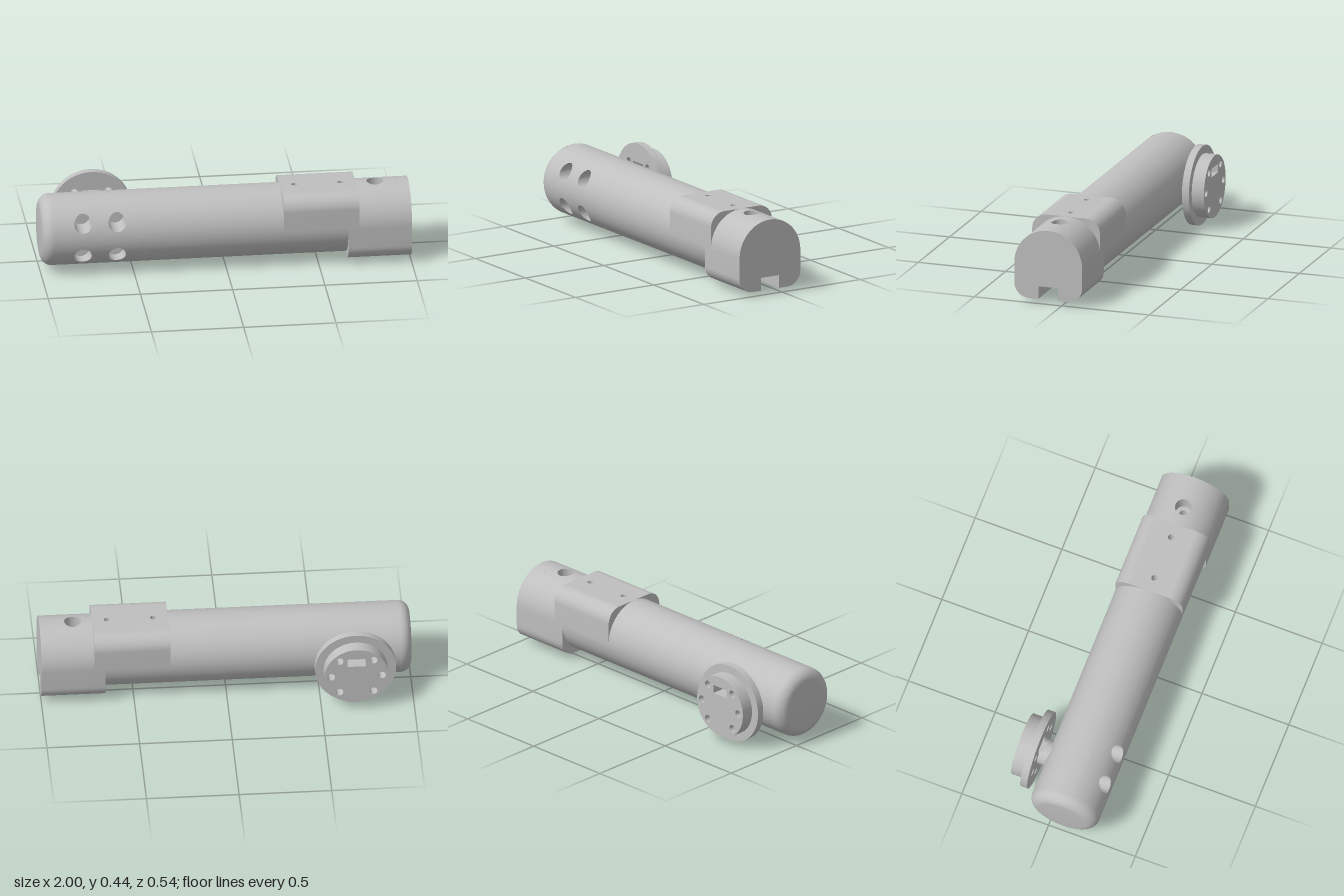
import * as THREE from 'three';
import { mergeGeometries, toCreasedNormals } from 'three/addons/utils/BufferGeometryUtils.js';

const CY = 0.22, CZ = 0.077, R = 0.194;      // tube axis and radius
const C = 0.082, F = R - C;                  // block corner radius, half flat width
const S = 0.057, SLOT_X = 0.78, SLOT_Y = 0.097;
const PI = Math.PI, rad = d => d * PI / 180;

// Skin between rings of points
function loft(rings) {
  const n = rings[0].length, index = [];
  for (let r = 0; r < rings.length - 1; r++) for (let i = 0; i < n - 1; i++) {
    const a = r * n + i, b = a + 1, d = a + n, c = d + 1;
    index.push(a, d, c, a, c, b);
  }
  const g = new THREE.BufferGeometry();
  g.setAttribute('position', new THREE.Float32BufferAttribute(rings.flat(2), 3));
  g.setIndex(index);
  return g;
}

// Point and arc on the tube; angle 0 is front, 90 degrees is top
const at = (x, t, r = R) => [x, CY + r * Math.sin(t), CZ + r * Math.cos(t)];
function arc(x, d0, d1, r = R) {
  const n = Math.max(2, Math.round((d1 - d0) / 3.75));
  return Array.from({ length: n + 1 }, (_, i) => at(x, rad(d0 + (d1 - d0) * i / n), r));
}
const tube = (x0, x1, d0, d1) => loft([arc(x0, d0, d1), arc(x1, d0, d1)]);

// Patch of the tube with a bore; steps are [radius, distance from axis], deepest first
function borePatch(x0, x1, d0, d1, hx, phiDeg, offset, radius, steps) {
  const phi = rad(phiDeg), N = 48, side = N / 4, rings = [];
  const angle = i => -0.75 * PI + i / N * 2 * PI;
  const ring = fn => Array.from({ length: N + 1 }, (_, i) => fn(i));
  for (const [r, d] of steps) rings.push(ring(i => {
    const t = offset + r * Math.sin(angle(i));
    return [hx + r * Math.cos(angle(i)),
      CY + d * Math.sin(phi) + t * Math.cos(phi),
      CZ + d * Math.cos(phi) - t * Math.sin(phi)];
  }));
  const t0 = rad(d0), t1 = rad(d1);
  const corners = [[x0, t0], [x1, t0], [x1, t1], [x0, t1], [x0, t0]];
  for (let k = 0; k <= 6; k++) rings.push(ring(i => {
    const hxp = hx + radius * Math.cos(angle(i));
    const ht = phi + Math.asin((offset + radius * Math.sin(angle(i))) / R);
    const q = Math.min(3, Math.floor(i / side)), f = i / side - q;
    const ex = corners[q][0] + (corners[q + 1][0] - corners[q][0]) * f;
    const et = corners[q][1] + (corners[q + 1][1] - corners[q][1]) * f;
    return at(hxp + (ex - hxp) * k / 6, ht + (et - ht) * k / 6);
  }));
  return loft(rings);
}

// Half of a rounded square as [z, y] about the axis; s = 1 top, -1 bottom
function corner(s, mirror) {
  const p = [[R, 0]];
  for (let i = 0; i <= 12; i++) {
    const a = i / 12 * PI / 2;
    p.push([F + C * Math.cos(a), F + C * Math.sin(a)]);
  }
  const q = mirror ? p.map(([z, y]) => [-z, y]).reverse() : p;
  return q.map(([z, y]) => [s * z, s * y]);
}
const blockSides = (s, x0, x1) => [false, true].map(m =>
  loft([x0, x1].map(x => corner(s, m).map(([z, y]) => [x, CY + y, CZ + z]))));

// Flat faces across y or x
const flatY = (shape, y, up) => new THREE.ShapeGeometry(shape, 24)
  .rotateX(up ? -PI / 2 : PI / 2).translate(0, y, CZ);
const flatX = (shape, x, toRight) => new THREE.ShapeGeometry(shape, 32)
  .rotateY(toRight ? PI / 2 : -PI / 2).translate(x, CY, CZ);
const toShape = pts => new THREE.Shape(pts.map(p => new THREE.Vector2(...p)));
const circle = (x, y, r) => new THREE.Path().absarc(x, y, r, 0, 2 * PI, false);

// Shoulder between rounded square and round tube
function shoulder(s) {
  const round = [];
  for (let i = 1; i < 48; i++) {
    const a = PI - i / 48 * PI;
    round.push([s * R * Math.cos(a), s * R * Math.sin(a)]);
  }
  return toShape([...corner(s, false), ...corner(s, true), ...round]);
}

export function createModel() {
  const group = new THREE.Group();
  const metal = new THREE.MeshStandardMaterial({ color: 0xbfbfbf, side: THREE.DoubleSide });
  metal.name = 'grey metal';
  function add(name, parts) {
    const list = parts.map(p => {
      const g = p.index ? p.toNonIndexed() : p;
      g.deleteAttribute('uv');
      g.deleteAttribute('normal');
      return g;
    });
    const mesh = new THREE.Mesh(toCreasedNormals(mergeGeometries(list), 0.5), metal);
    mesh.name = name;
    group.add(mesh);
  }

  // Tube with rounded closed end
  const E = 0.06, capRings = [arc(-1, 0, 360, 0)];
  for (let i = 0; i <= 10; i++) {
    const a = i / 10 * PI / 2;
    capRings.push(arc(-1 + E * (1 - Math.sin(a)), 0, 360, R - E * (1 - Math.cos(a))).slice());
  }
  // order the fillet from the end face outwards
  const fillet = capRings.slice(1).reverse();
  const endRings = [capRings[0]];
  for (let i = 0; i <= 10; i++) {
    const a = i / 10 * PI / 2;
    endRings.push(arc(-1 + E * (1 - Math.cos(a)), 0, 360, R - E + E * Math.sin(a)));
  }
  const body = [loft(endRings.length === fillet.length + 1 ? endRings : capRings),
    tube(-0.94, -0.45, 75, 285), tube(-0.45, 0.305, 0, 360),
    tube(0.305, 0.655, 180, 255), tube(0.305, 0.655, 285, 360)];
  // Four blind front bores
  for (const [x0, x1, hx] of [[-0.94, -0.6875, -0.78], [-0.6875, -0.45, -0.595]])
    for (const s of [-1, 1])
      body.push(borePatch(x0, x1, s < 0 ? -75 : 0, s < 0 ? 0 : 75, hx, 0, s * 0.094, 0.047,
        [[0, 0.06], [0.047, 0.06]]));
  // Pin holes running up to the top block
  for (const [x0, x1, hx] of [[0.305, 0.51, 0.385], [0.51, 0.655, 0.635]])
    body.push(borePatch(x0, x1, 255, 285, hx, 270, 0, 0.016, [[0.016, -R]]));
  // Tube top beyond the block, with counterbored hole
  body.push(tube(0.715, 1, 0, 60), tube(0.715, 1, 120, 180), tube(0.925, 1, 60, 120),
    borePatch(0.715, 0.925, 60, 120, 0.82, 90, 0, 0.045,
      [[0.022, SLOT_Y - CY], [0.022, 0.08], [0.045, 0.08]]));
  add('tubeBody', body);

  // Square-shouldered top block
  const top = toShape([[0.305, -F], [0.715, -F], [0.715, F], [0.305, F]]);
  top.holes.push(circle(0.385, 0, 0.016), circle(0.635, 0, 0.016));
  add('topBlock', [...blockSides(1, 0.305, 0.715), flatY(top, CY + R, true),
    flatX(shoulder(1), 0.305, false), flatX(shoulder(1), 0.715, true)]);

  // Bottom block with open slot
  const slot = [[1, -S]];
  for (let i = 0; i <= 24; i++) {
    const a = -PI / 2 - i / 24 * PI;
    slot.push([SLOT_X + S * Math.cos(a), S * Math.sin(a)]);
  }
  slot.push([1, S]);
  const ceiling = toShape(slot);
  ceiling.holes.push(circle(0.82, 0, 0.022));
  const underside = toShape([[0.655, -F], [1, -F], ...slot, [1, F], [0.655, F]]);
  const endOutline = [];
  for (let i = 0; i < 48; i++) endOutline.push([R * Math.cos(i / 48 * PI), R * Math.sin(i / 48 * PI)]);
  const notch = SLOT_Y - CY;
  endOutline.push(...corner(-1, false), [-S, -R], [-S, notch], [S, notch], [S, -R],
    ...corner(-1, true).slice(0, -1));
  add('bottomBlock', [...blockSides(-1, 0.655, 1), flatY(underside, CY - R, false),
    flatY(ceiling, SLOT_Y, false), flatX(shoulder(-1), 0.655, false),
    flatX(toShape(endOutline), 1, true),
    loft([CY - R, SLOT_Y].map(y => slot.map(([x, z]) => [x, y, CZ + z])))]);

  // Rear mount: neck, flange and hub
  const extrude = (shape, z0, z1) => new THREE.ExtrudeGeometry(shape,
    { depth: z1 - z0, bevelEnabled: false, curveSegments: 40 }).translate(-0.688, CY - 0.001, z0);
  const disc = r => new THREE.Shape().absarc(0, 0, r, 0, 2 * PI, false);
  const cut = Math.asin(0.064 / 0.072);
  const notchedNeck = new THREE.Shape().absarc(0, 0, 0.072, PI - cut, 2 * PI + cut, false);
  add('mountNeck', [extrude(disc(0.072), -0.135, -0.09), extrude(notchedNeck, -0.16, -0.135)]);
  function drilled(r) {
    const s = disc(r);
    for (const d of [0, 48, 132, 180, 228, 312])
      s.holes.push(circle(0.137 * Math.cos(rad(d)), 0.137 * Math.sin(rad(d)), 0.021));
    s.holes.push(new THREE.Path([[-0.05, 0.064], [-0.05, 0.112], [0.05, 0.112], [0.05, 0.064]]
      .map(p => new THREE.Vector2(...p))));
    return s;
  }
  add('mountFlange', [extrude(drilled(0.2185), -0.2, -0.16)]);
  add('mountHub', [extrude(drilled(0.173), -0.27, -0.2)]);
  return group;
}
